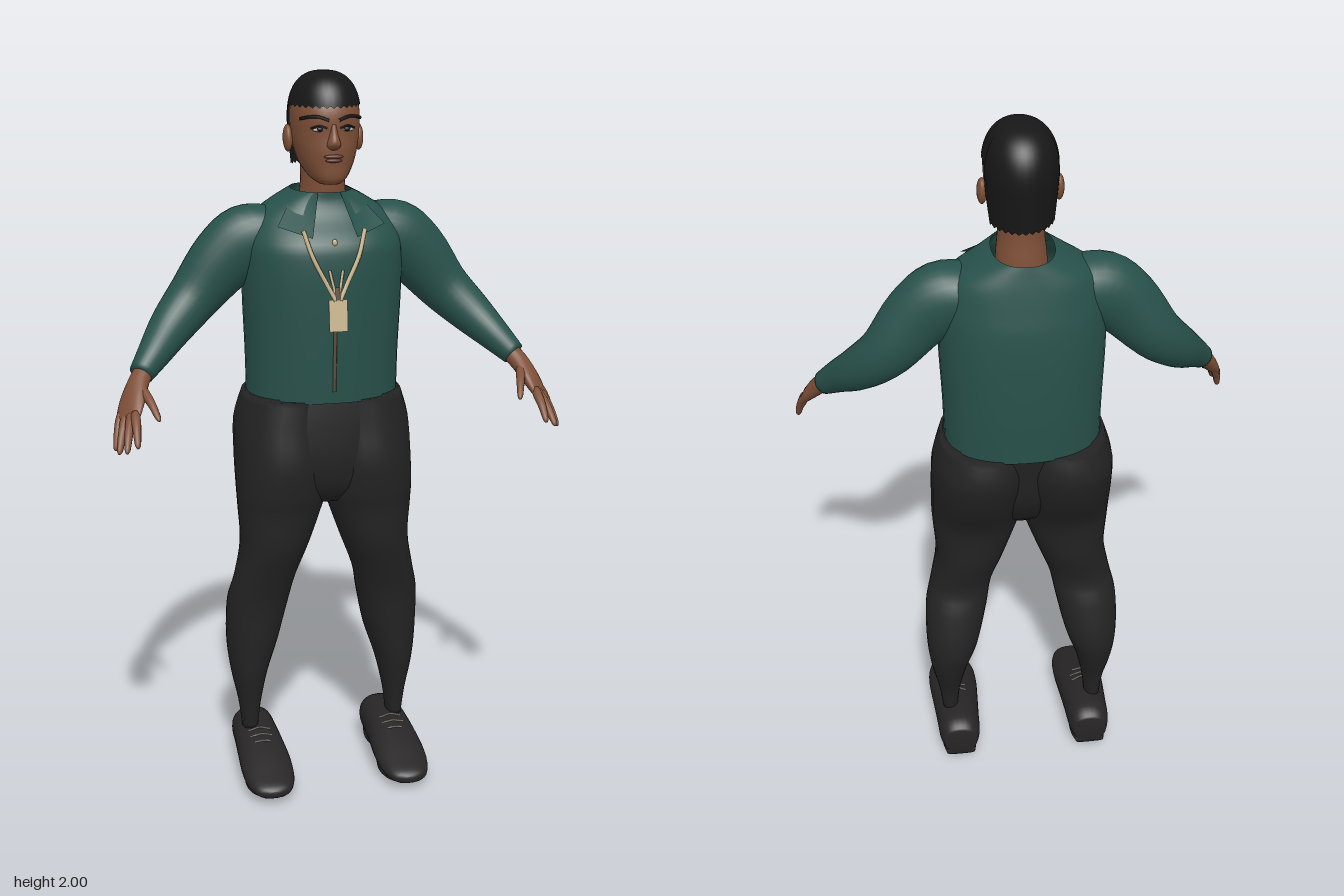
import * as THREE from 'three';

const V = (x, y, z) => new THREE.Vector3(x, y, z);
const X = V(1, 0, 0), Y = V(0, 1, 0), Z = V(0, 0, 1);
const mat = (name, color, side = THREE.FrontSide) => {
  const m = new THREE.MeshStandardMaterial({ color, side });
  m.name = name;
  return m;
};

// Catmull-Rom resampling of every column of a table of sections
function smooth(rows, steps = 4) {
  const out = [], at = i => rows[Math.max(0, Math.min(rows.length - 1, i))];
  for (let i = 0; i < rows.length - 1; i++) {
    for (let k = 0; k < steps; k++) {
      const t = k / steps;
      out.push(rows[i].map((b, j) => {
        const a = at(i - 1)[j], c = at(i + 1)[j], d = at(i + 2)[j];
        return b + 0.5 * t * (c - a + t * (2 * a - 5 * b + 4 * c - d + t * (3 * (b - c) + d - a)));
      }));
    }
  }
  out.push(rows[rows.length - 1]);
  return out;
}

// Superellipse cross-section spanned by axes u and v
function ring(c, u, v, ru, rv, e = 2, n = 28) {
  const p = w => Math.sign(w) * Math.pow(Math.abs(w), 2 / e);
  return Array.from({ length: n }, (_, i) => {
    const a = i / n * Math.PI * 2;
    return c.clone().addScaledVector(u, ru * p(Math.cos(a))).addScaledVector(v, rv * p(Math.sin(a)));
  });
}

// Skin over rings, turned so that its faces point outwards
function loft(rings, cap0 = true, cap1 = true) {
  const n = rings[0].length, pts = rings.flat(), idx = [], m = rings.length;
  for (let r = 0; r < m - 1; r++) {
    for (let i = 0; i < n; i++) {
      const a = r * n + i, b = r * n + (i + 1) % n;
      idx.push(a, a + n, b, b, a + n, b + n);
    }
  }
  const cap = (r, flip) => {
    const c = V(0, 0, 0);
    rings[r].forEach(p => c.addScaledVector(p, 1 / n));
    pts.push(c);
    for (let i = 0; i < n; i++) {
      const a = r * n + i, b = r * n + (i + 1) % n;
      idx.push(pts.length - 1, flip ? b : a, flip ? a : b);
    }
  };
  if (cap0) cap(0, false);
  if (cap1) cap(m - 1, true);
  const mid = V(0, 0, 0);
  pts.forEach(p => mid.addScaledVector(p, 1 / pts.length));
  let vol = 0;
  const q = i => pts[i].clone().sub(mid);
  for (let i = 0; i < idx.length; i += 3) vol += q(idx[i]).dot(q(idx[i + 1]).cross(q(idx[i + 2])));
  if (vol < 0) idx.reverse();
  const g = new THREE.BufferGeometry().setFromPoints(pts);
  g.setIndex(idx);
  g.computeVertexNormals();
  return g;
}

// Upright body from rows [y, xMin, xMax, zBack, zFront]
const upright = (rows, e, cap0, cap1, n) => loft(smooth(rows).map(([y, x0, x1, z0, z1]) =>
  ring(V((x0 + x1) / 2, y, (z0 + z1) / 2), X, Z, (x1 - x0) / 2, (z1 - z0) / 2, e, n)), cap0, cap1);

// Limb along a path from rows [x, y, z, depth, width]; hint is the width direction
function limb(rows, s, hint = Z, n = 20, steps = 4) {
  const pts = smooth(rows, steps);
  return loft(pts.map(([x, y, z, d, w], i) => {
    const a = pts[Math.max(0, i - 1)], b = pts[Math.min(pts.length - 1, i + 1)];
    const t = V(s * (b[0] - a[0]), b[1] - a[1], b[2] - a[2]).normalize();
    const h = V(s * hint.x, hint.y, hint.z);
    h.addScaledVector(t, -h.dot(t)).normalize();
    return ring(V(s * x, y, z), t.clone().cross(h), h, d, w, 2, n);
  }));
}

export function createModel() {
  const root = new THREE.Group();
  const skin = mat('skin', 0x7f5038), lip = mat('lips', 0x633a2c), black = mat('hair black', 0x171717, THREE.DoubleSide);
  const green = mat('shirt green', 0x28514b, THREE.DoubleSide), cloth = mat('trouser black', 0x232324);
  const shoeMat = mat('shoe black', 0x272526), gold = mat('lanyard gold', 0xc9b58c);
  const white = mat('pale grey', 0xb8b4ae), brown = mat('zip brown', 0x5d5144);
  const add = (name, geo, m) => {
    const o = new THREE.Mesh(geo, m);
    o.name = name;
    root.add(o);
    return o;
  };
  const blob = (name, m, p, r) => {
    const o = add(name, new THREE.SphereGeometry(1, 18, 12), m);
    o.position.set(...p);
    o.scale.set(...r);
    return o;
  };
  const tube = (name, m, pts, r) => add(name,
    new THREE.TubeGeometry(new THREE.CatmullRomCurve3(pts.map(p => V(...p))), 16, r, 6), m);

  // Shirt body with an open neck
  add('shirt', upright([
    [1.125, -.21, .21, -.235, .088], [1.25, -.212, .212, -.242, .096], [1.4, -.218, .218, -.242, .104],
    [1.5, -.218, .218, -.236, .106], [1.56, -.212, .212, -.225, .095], [1.62, -.185, .185, -.212, .045],
    [1.66, -.13, .13, -.202, .026], [1.687, -.08, .08, -.195, .025]], 2.3, false, false, 48), green);

  // Trousers: filled seat, then one leg per side
  add('trouserSeat', upright([[.83, -.06, .06, -.1, .04], [.88, -.15, .15, -.15, .075], [.96, -.215, .215, -.195, .09],
    [1.06, -.23, .23, -.215, .088], [1.135, -.215, .215, -.225, .082]], 2.4), cloth);

  // Head, neck and face
  add('neck', upright([[1.58, -.07, .07, -.13, .0], [1.66, -.065, .065, -.125, .01], [1.71, -.06, .06, -.12, .015],
    [1.78, -.06, .06, -.12, .02]], 2), skin);
  add('head', upright([[1.713, -.028, .028, -.01, .068], [1.728, -.048, .048, -.05, .079], [1.76, -.069, .069, -.105, .082],
    [1.8, -.082, .082, -.13, .085], [1.84, -.089, .089, -.142, .083], [1.89, -.091, .091, -.145, .084],
    [1.93, -.084, .084, -.142, .07], [1.97, -.058, .058, -.105, .038], [1.985, -.02, .02, -.06, 0]], 2.2), skin);
  add('nose', upright([[1.804, -.012, .012, .06, .086], [1.815, -.019, .019, .06, .1], [1.828, -.016, .016, .06, .102],
    [1.85, -.01, .01, .06, .092], [1.87, -.009, .009, .06, .085]], 2), skin);
  blob('upperLip', lip, [0, 1.787, .081], [.026, .006, .009]);
  blob('lowerLip', lip, [0, 1.777, .08], [.022, .006, .009]);

  // Cropped hair: low at the back, high over the forehead and temples
  const hair = [];
  for (let k = 0; k <= 20; k++) {
    const v = .06 + .94 * k / 20;
    hair.push(Array.from({ length: 64 }, (_, i) => {
      const a = i / 64 * Math.PI * 2, f = THREE.MathUtils.smoothstep(Math.sin(a), -.36, -.2);
      const edge = 1.752 + .16 * f + (i % 2 ? .004 : -.003);
      const y = 2 - (2 - edge) * v * v, t = (y - 1.87) / .13;
      const r = t > 0 ? Math.pow(1 - Math.pow(t, 2.5), .4) : 1 + t * .11;
      return V(.097 * r * Math.cos(a), y, -.0375 + .1235 * r * Math.sin(a));
    }));
  }
  add('hair', loft(hair, true, false), black);

  // Badge on its lanyard, zip and collar button
  const badge = add('badge', new THREE.BoxGeometry(.05, .085, .006), gold);
  badge.position.set(0, 1.378, .136);
  badge.rotation.x = -.12;
  tube('badgeClip', brown, [[0, 1.45, .124], [0, 1.42, .134]], .008);
  tube('zip', brown, [[0, 1.16, .093], [0, 1.25, .098], [0, 1.34, .103]], .005);
  blob('collarButton', gold, [0, 1.565, .094], [.007, .009, .006]);

  for (const s of [1, -1]) {
    const side = s > 0 ? 'left' : 'right';

    // Face details
    blob(side + 'Ear', skin, [s * .096, 1.825, -.045], [.013, .036, .024]).rotation.x = -.15;
    blob(side + 'EyeWhite', white, [s * .037, 1.856, .0755], [.018, .005, .005]);
    blob(side + 'Iris', black, [s * .036, 1.857, .0775], [.009, .006, .005]);
    tube(side + 'EyeLid', black, [[s * .017, 1.86, .081], [s * .037, 1.866, .078], [s * .058, 1.859, .066]], .0025);
    tube(side + 'Brow', black, [[s * .013, 1.88, .084], [s * .04, 1.889, .077], [s * .062, 1.888, .064], [s * .08, 1.882, .04]], .0045);

    // Sleeve
    add(side + 'Sleeve', limb([[.12, 1.575, -.085, .07, .085], [.2, 1.552, -.08, .098, .083], [.27, 1.5, -.08, .091, .074],
      [.35, 1.405, -.079, .073, .068], [.42, 1.333, -.038, .06, .058], [.475, 1.275, .02, .045, .045],
      [.517, 1.23, .062, .033, .033]], s, Z, 28), green);

    // Hand: palm, four fingers and thumb
    const across = V(-.6, .17, .78);
    add(side + 'Palm', limb([[.495, 1.25, .04, .026, .026], [.525, 1.215, .08, .025, .031], [.547, 1.175, .12, .021, .042],
      [.563, 1.138, .152, .013, .042], [.567, 1.128, .16, .006, .034]], s, across), skin);
    [[[.546, 1.145, .178], [.55, 1.083, .25]], [[.558, 1.138, .167], [.578, 1.07, .246]],
      [[.57, 1.134, .15], [.595, 1.06, .215]], [[.58, 1.133, .13], [.6, 1.058, .172]],
      [[.52, 1.2, .115], [.488, 1.14, .208]]].forEach(([a, b], i) => {
      const at = (t, r, o) => [0, 1, 2].map(j => a[j] + (b[j] - a[j]) * t + (j === 1 ? o : 0)).concat(r, r);
      add(side + (i < 4 ? 'Finger' + (i + 1) : 'Thumb'),
        limb([at(-.15, .011, 0), at(.15, .013, .004), at(.55, .011, .008), at(.9, .008, .002), at(1, .003, 0)], s, across, 10, 3), skin);
    });

    // Trouser leg
    add(side + 'TrouserLeg', upright([
      [1.13, -.02, .222, -.235, .083], [1.05, -.02, .245, -.25, .09], [.95, -.015, .25, -.218, .1], [.86, -.005, .25, -.168, .092],
      [.8, .012, .247, -.15, .08], [.7, .048, .242, -.14, .07], [.6, .085, .26, -.12, .04], [.52, .102, .278, -.142, .02],
      [.4, .13, .28, -.165, .01], [.3, .163, .27, -.145, 0], [.2, .185, .25, -.11, -.02], [.12, .195, .24, -.1, -.03]]
      .map(([y, a, b, c, d]) => s > 0 ? [y, a, b, c, d] : [y, -b, -a, c, d]), 2.15), cloth);

    // Shoe with sole and laces; rows are [z, half width, bottom, top]
    const shoe = (rows, e) => loft(smooth(rows).map(([z, w, b, t]) =>
      ring(V(s * .197, (b + t) / 2, z), X, Y, w, (t - b) / 2, e)));
    add(side + 'Shoe', shoe([[-.185, .048, .022, .112], [-.15, .06, .015, .132], [-.08, .064, .015, .132], [0, .069, .015, .12],
      [.08, .073, .015, .098], [.15, .068, .015, .074], [.2, .048, .018, .056], [.216, .012, .026, .042]], 2.3), shoeMat);
    add(side + 'Sole', shoe([[-.183, .042, .014, .034], [-.12, .052, 0, .034], [-.02, .048, .01, .034], [.08, .062, 0, .034],
      [.15, .056, .008, .034], [.202, .03, .018, .034]], 4), shoeMat);
    for (let k = 0; k < 3; k++) {
      const z = -.02 + k * .026, y = .128 - k * .008;
      tube(side + 'Lace', white, [[s * .197 - .032, y - .008, z], [s * .197, y + .002, z + .004], [s * .197 + .032, y - .008, z]], .0025);
    }

    // Collar flap and lanyard strap
    const flap = new THREE.BufferGeometry().setFromPoints([V(s * .03, 1.686, .028), V(s * .082, 1.684, -.04),
      V(s * .145, 1.605, .055), V(s * .06, 1.578, .1)]);
    flap.setIndex(s > 0 ? [0, 3, 1, 1, 3, 2] : [0, 1, 3, 1, 2, 3]);
    flap.computeVertexNormals();
    add(side + 'CollarFlap', flap, green);
    tube(side + 'Strap', gold, [[s * .083, 1.598, .088], [s * .062, 1.53, .109], [s * .03, 1.465, .121], [s * .006, 1.418, .134]], .006);
    tube(side + 'InnerStrap', gold, [[s * .018, 1.495, .113], [s * .01, 1.455, .122], [s * .002, 1.418, .134]], .004);
  }
  return root;
}
